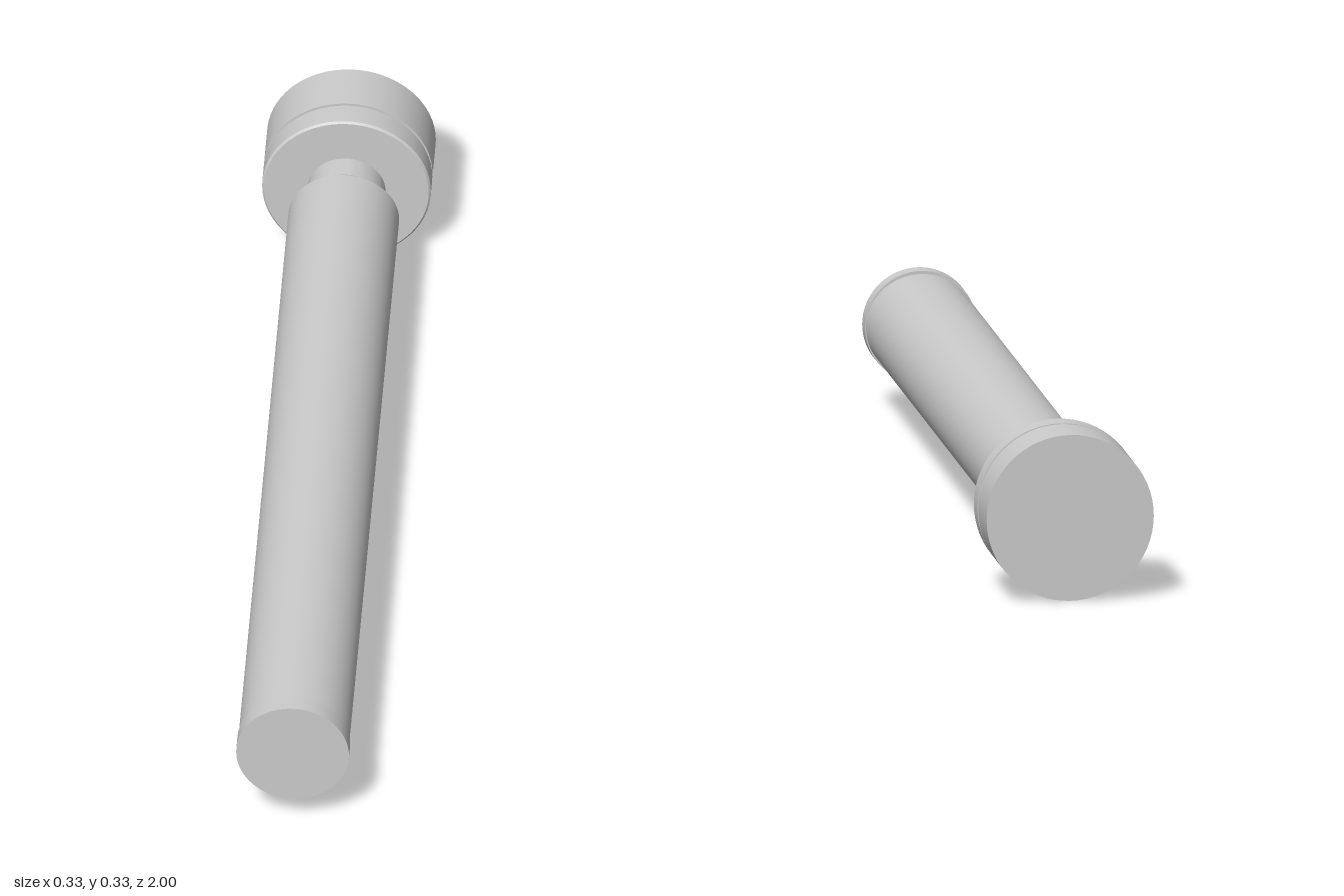
import * as THREE from 'three';
import { toCreasedNormals } from 'three/addons/utils/BufferGeometryUtils.js';

const AXIS_Y = 0.166;
const material = new THREE.MeshStandardMaterial({ color: 0xcccccc });

// Turned part along z; profile is [radius, z] from back to front
function turned(name, profile, segments = 64) {
  const points = profile.map(([r, z]) => new THREE.Vector2(r, z));
  const geometry = new THREE.LatheGeometry(points, segments);
  geometry.rotateX(Math.PI / 2);
  const mesh = new THREE.Mesh(toCreasedNormals(geometry, 0.4), material);
  mesh.name = name;
  mesh.position.y = AXIS_Y;
  return mesh;
}

export function createModel() {
  const group = new THREE.Group();
  group.name = 'pin';

  // Wide head with a shallow groove and a slightly bevelled front rim
  group.add(turned('head', [
    [0, -1], [0.166, -1], [0.166, -0.889], [0.161, -0.889], [0.161, -0.88],
    [0.166, -0.88], [0.166, -0.832], [0.162, -0.828], [0, -0.828],
  ]));

  // Narrow neck between head and shaft
  group.add(turned('neck', [[0, -0.84], [0.077, -0.84], [0.077, -0.776], [0, -0.776]]));

  // Long shaft tapering towards the neck, very slightly flattened in height
  const shaft = turned('shaft', [
    [0, -0.778], [0.062, -0.778], [0.109, -0.738], [0.109, 0.97], [0, 0.97],
  ]);
  shaft.scale.y = 0.96;
  group.add(shaft);

  // Thin collar closing the front end
  group.add(turned('endCap', [[0, 0.962], [0.111, 0.962], [0.111, 1], [0, 1]]));

  return group;
}
